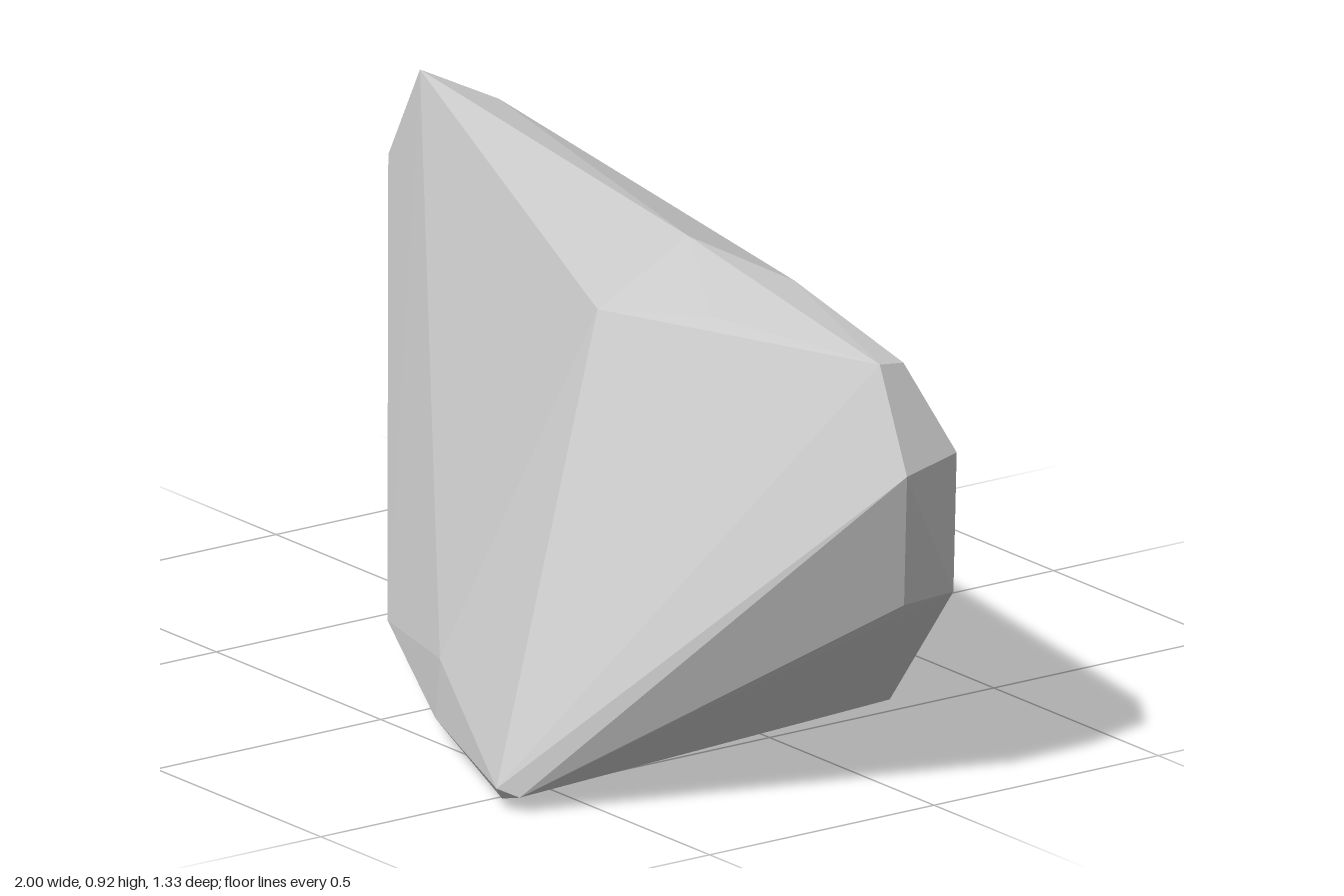
import * as THREE from 'three';
import { ConvexGeometry } from 'three/addons/geometries/ConvexGeometry.js';

// Corners of the faceted boulder, grouped by level
const crown = [
  [0.35, 0.92, 0.07], [0.4, 0.84, 0.31], [0.55, 0.87, -0.02], [0.57, 0.845, 0.18],
  [0.89, 0.81, 0.04], [0.88, 0.8, -0.02],
  [-0.89, 0.86, -0.24], [-0.87, 0.855, -0.25], [-0.69, 0.85, -0.27], [-0.9, 0.81, -0.28],
];
const waist = [
  [-1, 0.67, -0.25],
  [1, 0.63, 0.06], [0.96, 0.64, -0.08], [0.95, 0.37, 0.03], [0.95, 0.375, -0.08],
  [0.18, 0.16, 0.5],
];
const foot = [
  [0.57, 0.045, 0.66], [0.6, 0.03, 0.63], [0.56, 0.02, 0.64],
  [0.18, 0.05, 0.51], [0.18, 0.015, 0.48],
  [-0.28, 0.075, 0.28], [-0.28, 0.015, 0.24],
  [-0.64, 0.055, 0.0], [-0.62, 0.02, -0.02],
  [-0.53, 0.025, -0.635], [-0.48, 0, -0.63],
  [-0.11, 0.025, -0.665], [-0.11, 0.005, -0.645],
  [0.47, 0.01, -0.29],
];

export function createModel() {
  const group = new THREE.Group();
  group.name = 'boulder';

  const corners = [...crown, ...waist, ...foot].map((p) => new THREE.Vector3(...p));
  const rock = new THREE.Mesh(
    new ConvexGeometry(corners),
    new THREE.MeshStandardMaterial({ color: 0xcccccc, flatShading: true }),
  );
  rock.name = 'rock';
  group.add(rock);
  return group;
}
